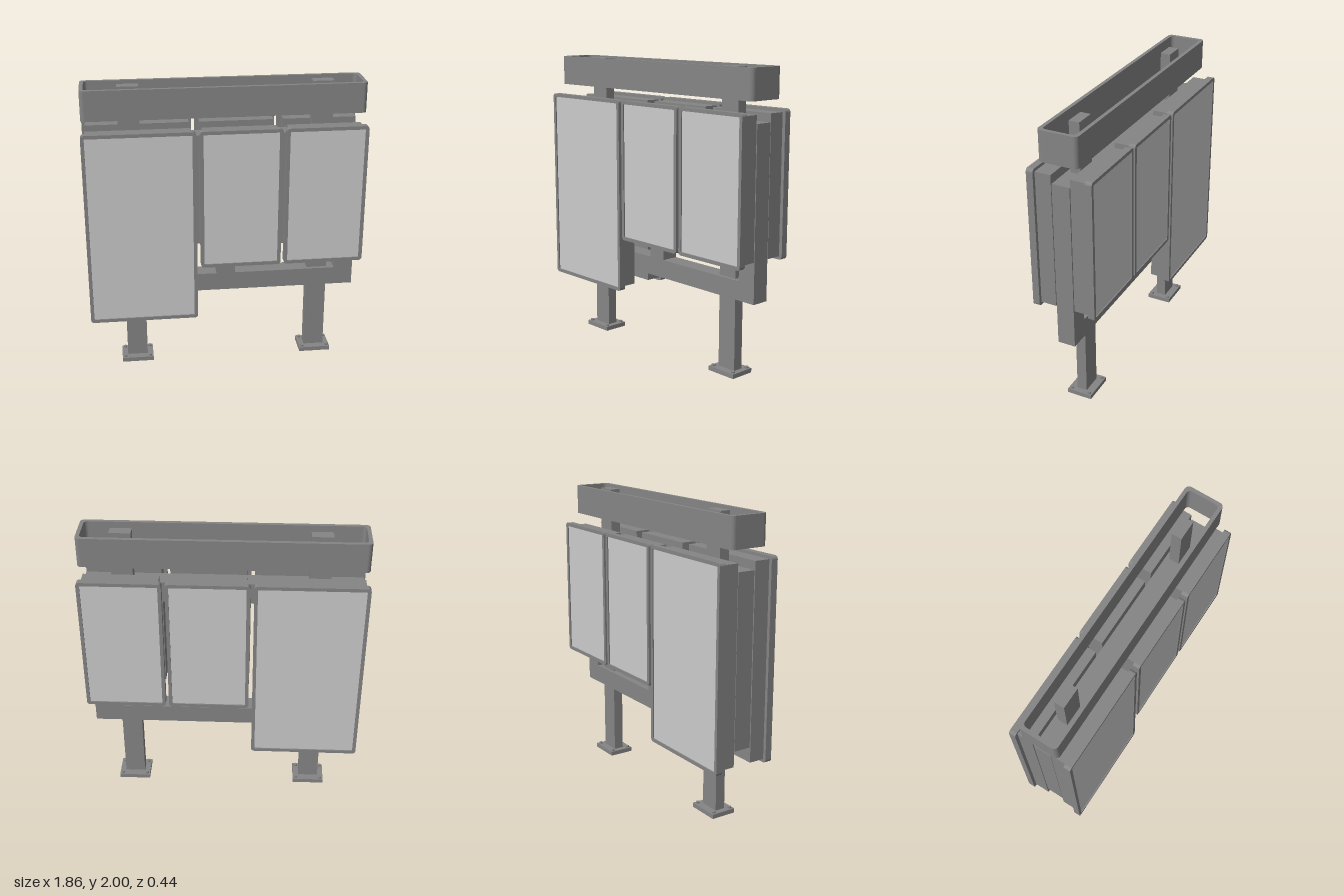
import * as THREE from 'three';

const dark = new THREE.MeshStandardMaterial({ color: 0x858585 });
const light = new THREE.MeshStandardMaterial({ color: 0xcccccc });

// Box given by its limits on each axis
function box(name, x0, x1, y0, y1, z0, z1, mat = dark) {
  const mesh = new THREE.Mesh(new THREE.BoxGeometry(x1 - x0, y1 - y0, z1 - z0), mat);
  mesh.position.set((x0 + x1) / 2, (y0 + y1) / 2, (z0 + z1) / 2);
  mesh.name = name;
  return mesh;
}

// Rounded rectangle centred on the origin, traced into a Shape or Path
function roundRect(path, w, h, r) {
  const x = w / 2, y = h / 2;
  if (r === 0) {
    return path.moveTo(-x, -y).lineTo(x, -y).lineTo(x, y).lineTo(-x, y).closePath();
  }
  path.moveTo(-x + r, -y).lineTo(x - r, -y);
  path.absarc(x - r, -y + r, r, -Math.PI / 2, 0);
  path.absarc(x - r, y - r, r, 0, Math.PI / 2);
  path.absarc(-x + r, y - r, r, Math.PI / 2, Math.PI);
  path.absarc(-x + r, -y + r, r, Math.PI, Math.PI * 1.5);
  return path;
}

// Rectangular ring extruded along +z
function ring(name, w, h, r, iw, ih, ir, depth) {
  const shape = roundRect(new THREE.Shape(), w, h, r);
  shape.holes.push(roundRect(new THREE.Path(), iw, ih, ir));
  const geo = new THREE.ExtrudeGeometry(shape, { depth, bevelEnabled: false, curveSegments: 6 });
  const mesh = new THREE.Mesh(geo, dark);
  mesh.name = name;
  return mesh;
}

// The same ring laid flat, extruded upwards from height y
function flatRing(name, y, ...args) {
  const mesh = ring(name, ...args);
  mesh.rotation.x = -Math.PI / 2;
  mesh.position.y = y;
  return mesh;
}

// Display unit facing +z: casing, rounded rim and recessed board
function displayUnit(name, x0, x1, y0, y1) {
  const g = new THREE.Group();
  g.name = name;
  const w = x1 - x0, h = y1 - y0, t = 0.023;
  g.add(box('casing', x0 + 0.023, x1 - 0.023, y0 + 0.022, y1 - 0.02, 0.065, 0.176));
  const rim = ring('rim', w, h, 0.022, w - 2 * t, h - 2 * t, 0.006, 0.046);
  rim.position.set((x0 + x1) / 2, (y0 + y1) / 2, 0.172);
  g.add(rim, box('board', x0 + t, x1 - t, y0 + t, y1 - t, 0.174, 0.21, light));
  return g;
}

export function createModel() {
  const model = new THREE.Group();

  // Hollow posts with bolted base plates
  for (const x of [-0.62, 0.655]) {
    const post = new THREE.Group();
    post.name = 'supportPost';
    post.position.x = x;
    post.add(flatRing('postTube', 0, 0.14, 0.07, 0, 0.1, 0.035, 0, 1.98));
    post.add(box('postCap', -0.07, 0.07, 1.98, 1.995, -0.035, 0.035));
    post.add(flatRing('basePlate', 0, 0.22, 0.175, 0, 0.14, 0.07, 0, 0.03));
    for (const sx of [-1, 1]) for (const sz of [-1, 1]) {
      const bolt = new THREE.Mesh(new THREE.CylinderGeometry(0.013, 0.013, 0.012, 6), dark);
      bolt.name = 'baseBolt';
      bolt.position.set(sx * 0.088, 0.036, sz * 0.065);
      post.add(bolt);
    }
    model.add(post);
  }

  // Central carrying frame
  const frame = new THREE.Group();
  frame.name = 'carryingFrame';
  frame.add(box('topBeam', -0.905, 0.905, 1.515, 1.66, -0.06, 0.06));
  frame.add(box('bottomBeam', -0.905, 0.905, 0.525, 0.652, -0.06, 0.06));
  for (const x of [-0.84, 0.01, 0.84]) {
    frame.add(box('upright', x - 0.065, x + 0.065, 0.652, 1.515, -0.06, 0.06));
  }
  model.add(frame);

  // Display units, the same on the front and the back
  for (const side of [1, -1]) {
    const face = new THREE.Group();
    face.name = side > 0 ? 'frontDisplays' : 'backDisplays';
    face.add(displayUnit('largeDisplay', -0.93, -0.2, 0.4, 1.735));
    face.add(displayUnit('middleDisplay', -0.175, 0.365, 0.777, 1.735));
    face.add(displayUnit('endDisplay', 0.387, 0.927, 0.777, 1.735));
    face.scale.z = side;
    model.add(face);
  }

  // Open header band round the post tops
  const header = flatRing('headerBand', 1.8, 1.85, 0.266, 0.03, 1.8, 0.216, 0.025, 0.2);
  header.position.z = 0.003;
  model.add(header);

  return model;
}
